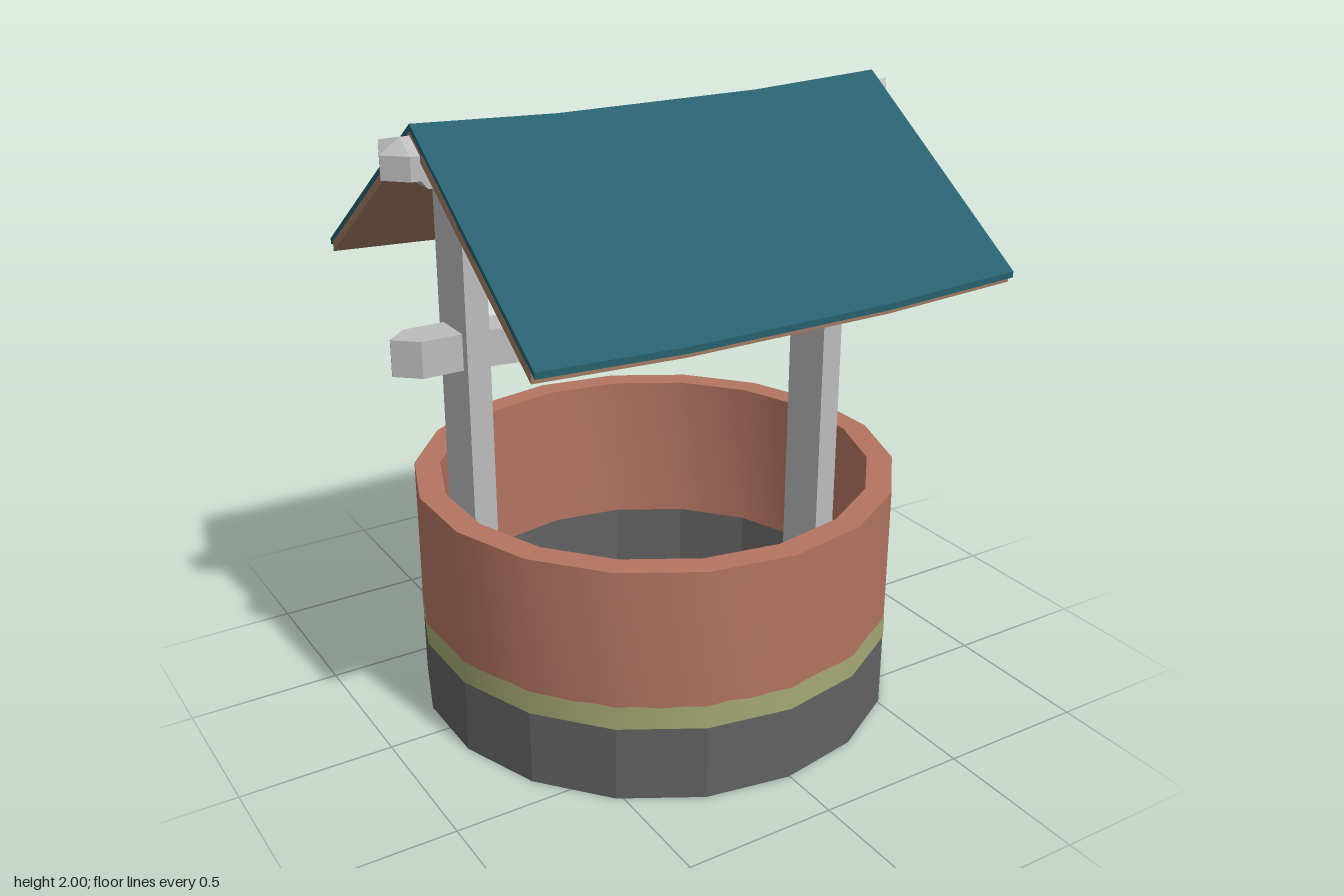
import * as THREE from 'three';
import { toCreasedNormals } from 'three/addons/utils/BufferGeometryUtils.js';

const SIDES = 18, OUTER = 0.8, INNER = 0.715;

function material(name, color) {
  const m = new THREE.MeshStandardMaterial({ color });
  m.name = name;
  return m;
}

// Extrudes a [z, y] section along x; stations are [x, lift, width scale]
function loft(section, stations) {
  const shape = new THREE.Shape(section.map(([z, y]) => new THREE.Vector2(z, y)));
  const n = stations.length - 1;
  const geo = new THREE.ExtrudeGeometry(shape, { depth: n, steps: n, bevelEnabled: false });
  const p = geo.attributes.position;
  for (let i = 0; i < p.count; i++) {
    const [x, lift, width] = stations[Math.round(p.getZ(i))];
    p.setXYZ(i, x, p.getY(i) + lift, -p.getX(i) * width);
  }
  geo.computeVertexNormals();
  return geo;
}

// Open-ended faceted wall from a [radius, y] profile
function wall(profile, crease) {
  const points = profile.map(([r, y]) => new THREE.Vector2(r, y));
  return toCreasedNormals(new THREE.LatheGeometry(points, SIDES), crease);
}

// Thin band that follows the faceted wall, with a ragged top edge
function mossBand(bottom, top) {
  const geo = new THREE.CylinderGeometry(1, 1, top - bottom, SIDES * 4, 1, true);
  const p = geo.attributes.position;
  const step = (Math.PI * 2) / SIDES;
  for (let i = 0; i < p.count; i++) {
    const a = Math.atan2(p.getX(i), p.getZ(i)) + Math.PI * 2;
    const k = Math.round((a / step) * 4);
    const local = ((k % 4) / 4 - 0.5) * step;
    const r = (OUTER + 0.002) * Math.cos(step / 2) / Math.cos(local);
    const ragged = 0.006 * Math.sin((k % 72) * 2.3) * Math.cos((k % 72) * 0.9);
    p.setXYZ(i, r * Math.sin(a), p.getY(i) > 0 ? top + ragged : bottom, r * Math.cos(a));
  }
  return geo;
}

export function createModel() {
  const brick = material('brick', 0xb37461);
  const stone = material('darkStone', 0x626262);
  const moss = material('moss', 0xa5a874);
  const timber = material('greyTimber', 0xbcbcbc);
  const teal = material('tealRoof', 0x28606f);
  const wood = material('brownWood', 0xa07a60);

  const model = new THREE.Group();
  model.name = 'well';
  const add = (name, geo, mat, x = 0, y = 0) => {
    const mesh = new THREE.Mesh(geo, mat);
    mesh.name = name;
    mesh.position.set(x, y, 0);
    model.add(mesh);
  };

  // Round well wall, open at top and bottom
  add('stoneBase', wall([[INNER, 0.25], [INNER, 0], [OUTER, 0], [OUTER, 0.25]], 0.1), stone, -0.005);
  add('brickWall', wall([[OUTER, 0.25], [OUTER, 0.78], [INNER, 0.78], [INNER, 0.25]], 0.6), brick, -0.005);
  add('mossBand', mossBand(0.25, 0.327), moss, -0.005);

  // Posts
  for (const [name, x] of [['leftPost', 0.655], ['rightPost', -0.672]]) {
    add(name, new THREE.BoxGeometry(0.075, 1.67, 0.19), timber, x, 1.045);
  }

  // Sagging crossbeam with pointed ends
  add('crossbeam', loft(
    [[-0.065, 1.262], [0.065, 1.262], [0.065, 1.377], [-0.065, 1.377]],
    [[-0.91, 0, 0.02], [-0.84, 0, 1], [-0.67, 0, 1], [-0.22, -0.03, 1],
      [0.22, -0.03, 1], [0.66, 0, 1], [0.83, 0, 1], [0.897, 0, 0.02]]), timber);

  // Ridge beam under the roof
  add('ridgeBeam', loft(
    [[-0.065, 1.85], [0.065, 1.85], [0.065, 1.9], [0, 1.945], [-0.065, 1.9]].map(
      ([z, y]) => [z, y > 1.86 ? y + 0.022 : y]),
    [[-0.905, 0, 0.02], [-0.84, 0, 1], [-0.811, 0, 1], [-0.79, -0.025, 1], [-0.34, -0.045, 1],
      [0.37, -0.045, 1], [0.82, -0.025, 1], [0.846, 0, 1], [0.907, 0, 0.02]]), timber);

  // Gabled roof: teal covering over brown boards, both sagging in the middle
  const sag = [[-0.81, 0, 1], [-0.34, -0.02, 1], [0.37, -0.02, 1], [0.845, 0, 1]];
  const gable = (half, eave, ridge, thick) => [
    [-half, eave], [0, ridge], [half, eave],
    [half, eave - thick], [0, ridge - thick], [-half, eave - thick]];
  add('roofCovering', loft(gable(0.725, 1.492, 2.0, 0.02), sag), teal);
  add('roofBoards', loft(gable(0.705, 1.485, 1.979, 0.032), sag), wood);

  return model;
}
